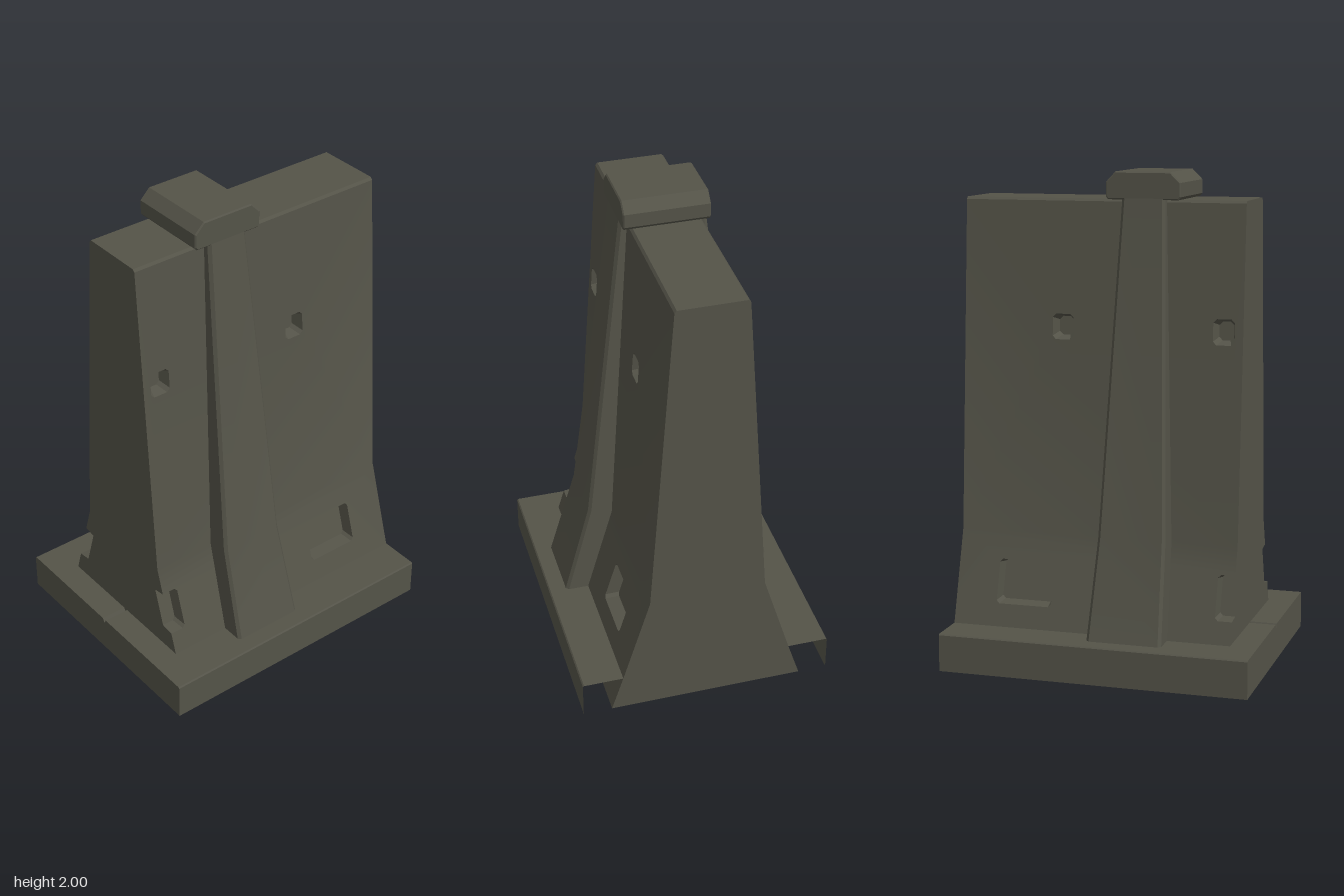
import * as THREE from 'three';
import { mergeGeometries, toCreasedNormals } from 'three/addons/utils/BufferGeometryUtils.js';

const concrete = new THREE.MeshStandardMaterial({ color: 0x545348, side: THREE.DoubleSide });
concrete.name = 'grey green concrete';

// Half thickness of the wall at a height
const profile = [[0, 0.405], [0.155, 0.355], [0.53, 0.24], [1.88, 0.144], [1.89, 0.135]];
const lerp = THREE.MathUtils.lerp;
function wallZ(y) {
  for (let i = 1; i < profile.length; i++) {
    const [y0, z0] = profile[i - 1], [y1, z1] = profile[i];
    if (y <= y1) return lerp(z0, z1, (y - y0) / (y1 - y0));
  }
  return 0.135;
}

// Shallow bends stay smooth, real edges stay sharp
function addMesh(group, name, geometry) {
  const mesh = new THREE.Mesh(toCreasedNormals(geometry, 0.3), concrete);
  mesh.name = name;
  group.add(mesh);
}

// Flat outline with holes, each (u, v) placed in space by map
function sheetGeometry(outline, map, holes = []) {
  const shape = new THREE.Shape(outline.map(p => new THREE.Vector2(...p)));
  for (const h of holes) shape.holes.push(new THREE.Path(h.map(p => new THREE.Vector2(...p))));
  const g = new THREE.ShapeGeometry(shape);
  const pos = g.attributes.position;
  for (let i = 0; i < pos.count; i++) pos.setXYZ(i, ...map(pos.getX(i), pos.getY(i)));
  return g;
}
const sheet = (group, name, ...args) => addMesh(group, name, sheetGeometry(...args));

// Skin between successive rows of 3D points
function loft(group, name, rows, closed = false) {
  const v = [], n = rows[0].length;
  for (let r = 0; r + 1 < rows.length; r++) {
    for (let i = 0; i < (closed ? n : n - 1); i++) {
      const j = (i + 1) % n, a = rows[r][i], b = rows[r][j], c = rows[r + 1][j], d = rows[r + 1][i];
      v.push(...a, ...b, ...c, ...a, ...c, ...d);
    }
  }
  const g = new THREE.BufferGeometry();
  g.setAttribute('position', new THREE.Float32BufferAttribute(v, 3));
  addMesh(group, name, g);
}

const rect = (x0, x1, y0, y1) => [[x0, y0], [x1, y0], [x1, y1], [x0, y1]];
const cutRect = (x0, x1, y0, y1, c) => [[x0 + c, y0], [x1 - c, y0], [x1, y0 + c], [x1, y1 - c],
  [x1 - c, y1], [x0 + c, y1], [x0, y1 - c], [x0, y0 + c]];

const X0 = -0.53, X1 = 0.635, BX = -0.64, BZ = 0.525, BY = 0.155;
const onWall = (x, y) => [x, y, wallZ(y)];

// Recess sunk into the sloping wall face
function recess(group, name, outer, inner, depth, closed) {
  const sunk = (x, y) => [x, y, wallZ(y) - depth];
  loft(group, name + 'Sides', [outer.map(p => onWall(...p)), inner.map(p => sunk(...p))], closed);
  sheet(group, name + 'Back', inner, sunk);
}

function buildHalf() {
  const half = new THREE.Group();

  // Lifting pockets and tie holes
  const y0 = 0.245, y1 = 0.42, nx = -0.46, depth = 0.055;
  const pocket = cutRect(0.225, 0.46, y0, y1, 0.012);
  const notch = [[X0, y0], [nx - 0.012, y0], [nx, y0 + 0.012], [nx, y1 - 0.012], [nx - 0.012, y1], [X0, y1]];
  const notchIn = [[X0, y0 + 0.008], [nx - 0.02, y0 + 0.008], [nx - 0.008, y0 + 0.02],
    [nx - 0.008, y1 - 0.02], [nx - 0.02, y1 - 0.008], [X0, y1 - 0.008]];
  recess(half, 'liftingPocket', pocket, cutRect(0.233, 0.452, y0 + 0.008, y1 - 0.008, 0.012), depth, true);
  recess(half, 'endPocket', notch, notchIn, depth, false);
  const ties = [-0.452, 0.214];
  const tie = (x, s) => cutRect(x - 0.044 + s, x + 0.044 - s, 1.325 + s, 1.428 - s, 0.014);
  for (const x of ties) recess(half, 'tieHole', tie(x, 0), tie(x, 0.014), 0.05, true);

  // Wall face, softly bent above the foot
  addMesh(half, 'wallFace', mergeGeometries([
    sheetGeometry([[X0, BY], [X1, BY], [X1, 0.53], [X0, 0.53], ...[...notch].reverse()], onWall, [pocket]),
    sheetGeometry(rect(X0, X1, 0.53, 1.88), onWall, ties.map(x => tie(x, 0))),
  ]));
  sheet(half, 'wallFoot', rect(X0, X1, 0, BY), onWall);

  // Top with a small bevel
  sheet(half, 'wallTopBevel', rect(X0, X1, 1.88, 1.89), onWall);
  sheet(half, 'wallTop', rect(X0, X1, 0, 0.135), (x, z) => [x, 1.89, z]);

  // Wall ends, one notched by the end pocket
  const rim = profile.map(([y, z]) => [z, y]);
  const bite = [[wallZ(y0), y0], [wallZ(y0 + 0.008) - depth, y0 + 0.008],
    [wallZ(y1 - 0.008) - depth, y1 - 0.008], [wallZ(y1), y1]];
  sheet(half, 'plainEnd', [[0, 0], ...rim, [0, 1.89]], (z, y) => [X1, y, z]);
  sheet(half, 'notchedEnd', [[0, 0], ...rim.slice(0, 2), ...bite, ...rim.slice(2), [0, 1.89]], (z, y) => [X0, y, z]);

  // Tapering buttress with bevelled edges
  const c = 0.012;
  const rows = [[0, 0.497], [BY, 0.452], [0.55, 0.34], [1.895, 0.175]].map(([y, z]) => {
    const t = (y - BY) / (1.89 - BY), l = lerp(-0.272, -0.208, t), r = lerp(0.037, -0.03, t), w = wallZ(y) - 0.02;
    return [[l, y, w], [l, y, z - c], [l + c, y, z], [r - c, y, z], [r, y, z - c], [r, y, w]];
  });
  loft(half, 'buttress', rows);

  // Base skirt: open shell around the foot
  sheet(half, 'baseTop', [[BX, 0.01], [X0, 0.01], [X0, 0.355], [X1, 0.355], [X1, BZ - 0.005], [BX, BZ - 0.005]],
    (x, z) => [x, BY, z]);
  loft(half, 'baseSide', [[[BX, BY, BZ - 0.005], [X1, BY, BZ - 0.005]],
    [[BX, BY - 0.005, BZ], [X1, BY - 0.005, BZ]], [[BX, 0, BZ], [X1, 0, BZ]]]);
  sheet(half, 'baseEnd', [[0, 0], [BZ, 0], [BZ, BY - 0.005], [BZ - 0.005, BY], [0.01, BY], [0, BY - 0.02]],
    (z, y) => [BX, y, z]);
  loft(half, 'baseGroove', [[[BX, BY, 0.01], [X0, BY, 0.01]], [[BX, BY - 0.02, 0], [X0, BY - 0.02, 0]]]);
  return half;
}

export function createModel() {
  const model = new THREE.Group();
  model.name = 'concreteBarrier';

  // Front half and its mirror at the back
  for (const s of [1, -1]) {
    const half = buildHalf();
    half.name = s > 0 ? 'frontHalf' : 'backHalf';
    half.scale.z = s;
    model.add(half);
  }

  // Cap saddling the wall top
  const capShape = new THREE.Shape([[-0.262, 1.89], [0.027, 1.89], [0.036, 1.902], [0.036, 1.958], [-0.004, 2],
    [-0.23, 2], [-0.272, 1.958], [-0.272, 1.902]].map(p => new THREE.Vector2(...p)));
  const cap = new THREE.ExtrudeGeometry(capShape,
    { depth: 0.34, bevelThickness: 0.005, bevelSize: 0.005, bevelOffset: -0.005, bevelSegments: 1 });
  cap.translate(0, 0, -0.17);
  addMesh(model, 'cap', cap);

  // Underside: thin ribs between tapered coffers, wider below the buttresses
  const sides = [[-0.39, -0.012], [0.012, 0.39]];
  const middle = [[-0.485, -0.16], [-0.136, 0.136], [0.16, 0.485]];
  const cells = [[-0.515, -0.292, sides], [-0.266, 0.03, middle], [0.056, 0.62, sides]]
    .flatMap(([a, b, spans]) => spans.map(([c, d]) => [a, b, c, d]));
  const under = y => (x, z) => [x, y, z];
  const arm = [[X1, 0.405], [0.043, 0.405], [0.043, 0.497], [-0.278, 0.497], [-0.278, 0.405], [X0, 0.405]];
  const outline = [...arm, ...arm.map(([x, z]) => [x, -z]).reverse()];
  sheet(model, 'underside', outline, under(0), cells.map(k => rect(...k)));
  for (const [a, b, c, d] of cells) {
    const low = rect(a, b, c, d), high = rect(a + 0.05, b - 0.05, c + 0.05, d - 0.05);
    loft(model, 'cofferSides', [low.map(p => under(0)(...p)), high.map(p => under(0.12)(...p))], true);
    sheet(model, 'cofferRoof', high, under(0.12));
  }
  return model;
}
